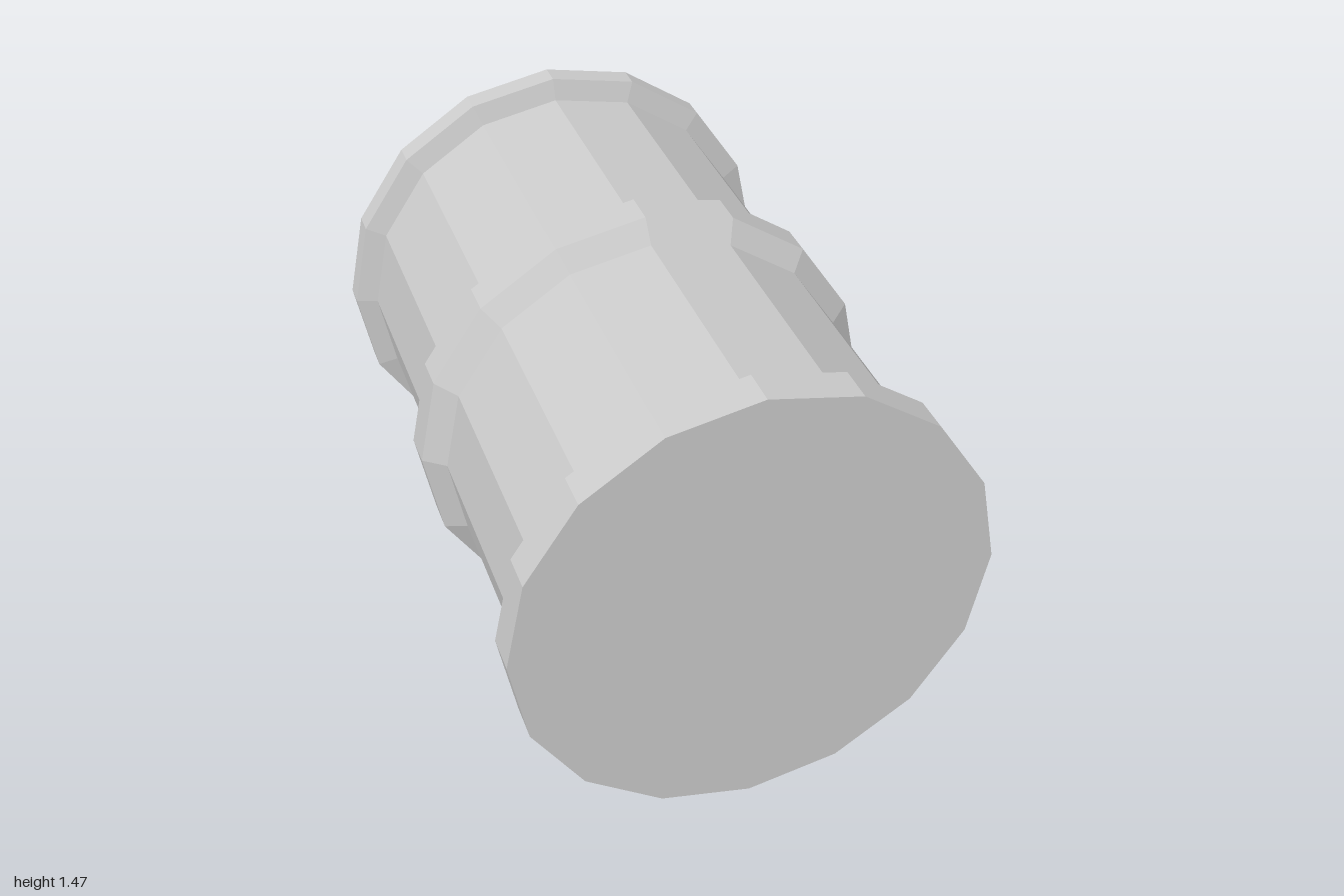
import * as THREE from 'three';

const RIM = 0.733, BODY = 0.665, SIDES = 16;

export function createModel() {
  const model = new THREE.Group();
  model.name = 'barrel';
  const material = new THREE.MeshStandardMaterial({ color: 0xcccccc, flatShading: true });

  // Faceted section turned about the z axis; profile holds [radius, z] from back to front
  const addSection = (name, profile) => {
    const points = profile.map(([r, z]) => new THREE.Vector2(r, z));
    const geometry = new THREE.LatheGeometry(points, SIDES).rotateX(Math.PI / 2);
    const mesh = new THREE.Mesh(geometry, material);
    mesh.name = name;
    mesh.position.y = RIM;
    model.add(mesh);
  };

  // Capped end rims with chamfered inner edges
  addSection('backRim', [[0, -1], [RIM, -1], [RIM, -0.925], [BODY, -0.902]]);
  addSection('frontRim', [[BODY, 0.845], [RIM, 0.882], [RIM, 1], [0, 1]]);

  // Straight walls between the bands
  addSection('backWall', [[BODY, -0.902], [BODY, -0.137]]);
  addSection('frontWall', [[BODY, 0.08], [BODY, 0.845]]);

  // Raised middle hoop
  addSection('middleHoop', [[BODY, -0.137], [RIM, -0.083], [RIM, 0.028], [BODY, 0.08]]);

  return model;
}
